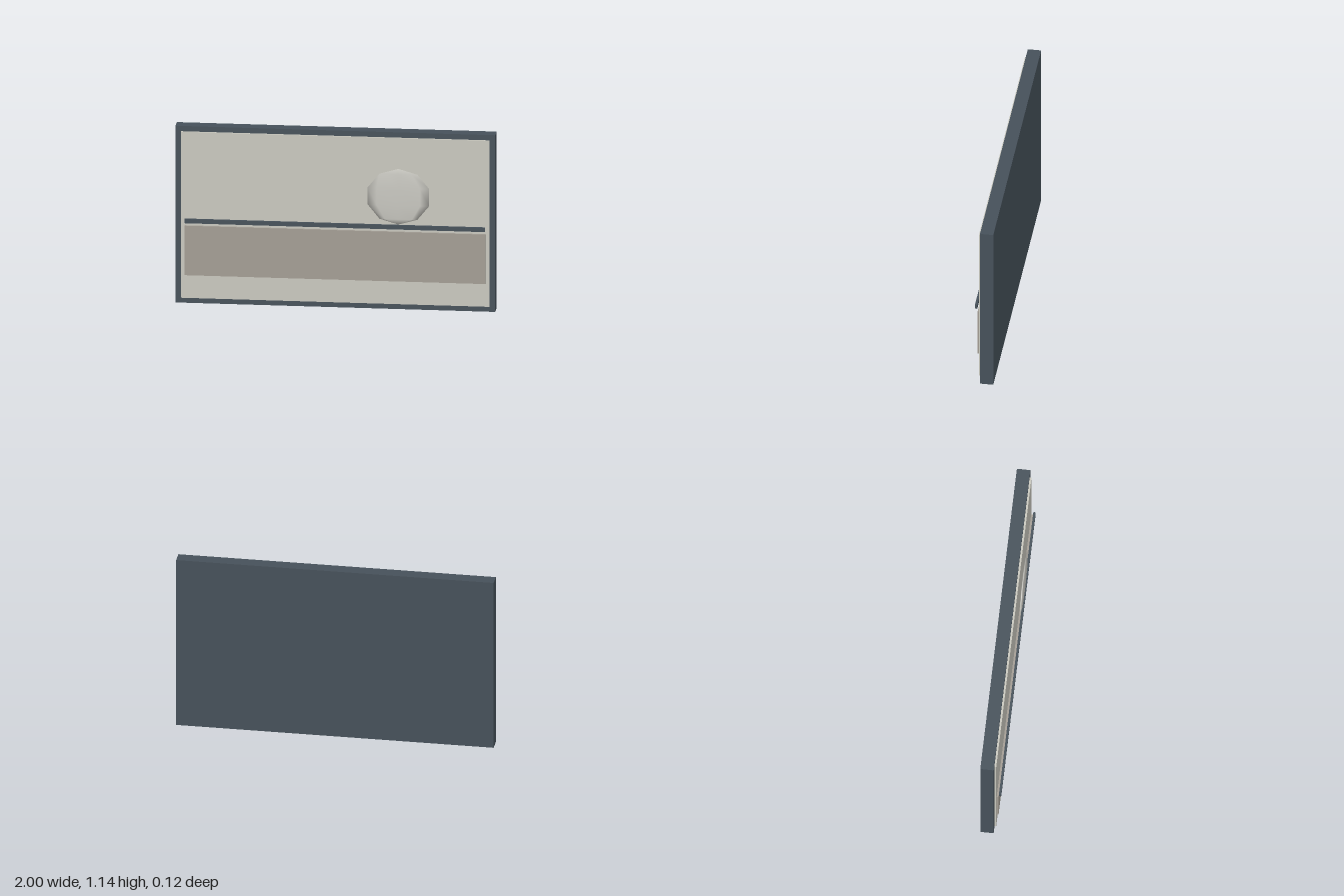
import * as THREE from 'three';

const material = (color) => new THREE.MeshStandardMaterial({ color });

// Box given by its width, vertical range and depth range, centred on x = 0
function slab(name, width, [y0, y1], [z0, z1], mat) {
  const mesh = new THREE.Mesh(new THREE.BoxGeometry(width, y1 - y0, z1 - z0), mat);
  mesh.name = name;
  mesh.position.set(0, (y0 + y1) / 2, (z0 + z1) / 2);
  return mesh;
}

export function createModel() {
  const model = new THREE.Group();
  model.name = 'wallPanel';
  const dark = material(0x46515a);

  // Backing board, with layered panels stacked towards the front
  model.add(
    slab('backingBoard', 2, [0, 1.143], [-0.062, 0.022], dark),
    slab('facePanel', 1.93, [0.035, 1.109], [0.021, 0.034], material(0xc9c8be)),
    slab('lowerBand', 1.88, [0.185, 0.505], [0.033, 0.046], material(0xa39d94)),
    slab('rail', 1.88, [0.526, 0.553], [0.048, 0.063], dark),
  );

  // Flattened low-poly sphere above the rail
  const disc = new THREE.Mesh(new THREE.SphereGeometry(1, 8, 5), material(0xc8c7c0));
  disc.name = 'disc';
  disc.scale.set(0.202, 0.18, 0.011);
  disc.position.set(0.398, 0.735, 0.05);
  model.add(disc);

  return model;
}
